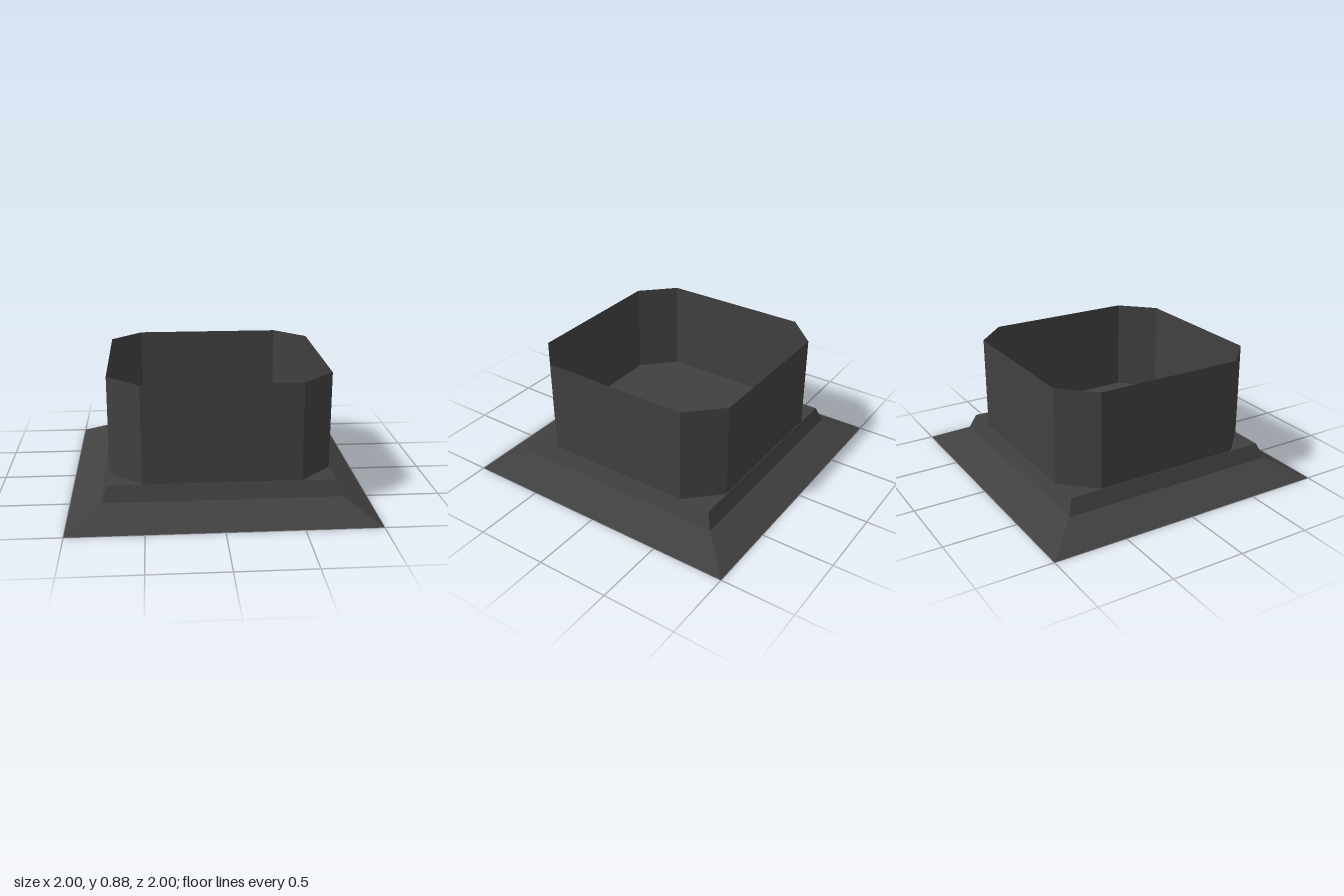
import * as THREE from 'three';

const material = new THREE.MeshStandardMaterial({
  color: 0x404040, flatShading: true, side: THREE.DoubleSide,
});

// Square sheet-metal cone: profile is a list of [half width, height] points.
function squareCone(name, profile) {
  const points = profile.map(([r, y]) => new THREE.Vector2(r * Math.SQRT2, y));
  const mesh = new THREE.Mesh(new THREE.LatheGeometry(points, 4, Math.PI / 4), material);
  mesh.name = name;
  return mesh;
}

// Upright wall following a closed outline of [x, z] points.
function wall(name, outline, y0, y1) {
  const positions = [];
  outline.forEach(([ax, az], i) => {
    const [bx, bz] = outline[(i + 1) % outline.length];
    positions.push(ax, y0, az, bx, y1, bz, bx, y0, bz);
    positions.push(ax, y0, az, ax, y1, az, bx, y1, bz);
  });
  const geometry = new THREE.BufferGeometry();
  geometry.setAttribute('position', new THREE.Float32BufferAttribute(positions, 3));
  geometry.computeVertexNormals();
  const mesh = new THREE.Mesh(geometry, material);
  mesh.name = name;
  return mesh;
}

export function createModel() {
  const group = new THREE.Group();
  group.name = 'squareCeilingDiffuser';

  // Flared outer frame, closed by a flat back plate
  group.add(squareCone('outerFrame', [[1, 0], [0.775, 0.122], [0.735, 0.224]]));
  const plate = new THREE.Mesh(new THREE.PlaneGeometry(1.47, 1.47), material);
  plate.rotation.x = -Math.PI / 2;
  plate.position.y = 0.224;
  plate.name = 'backPlate';
  group.add(plate);

  // Open duct collar with chamfered corners
  const a = 0.73, b = 0.515;
  const outline = [[a, b], [a, -b], [b, -a], [-b, -a], [-a, -b], [-a, b], [-b, a], [b, a]];
  group.add(wall('ductCollar', outline, 0.224, 0.88));

  // Nested louvre cones on the underside
  const louvres = new THREE.Group();
  louvres.name = 'louvres';
  for (let i = 0; i < 5; i++) {
    const r = 0.8 - i * 0.155;
    const profile = [[r, 0], [r - 0.125, 0.068], [r - 0.145, 0.125]];
    if (i === 4) profile.push([0, 0.125]); // the centre cone is closed
    louvres.add(squareCone('louvre', profile));
  }
  group.add(louvres);

  return group;
}
